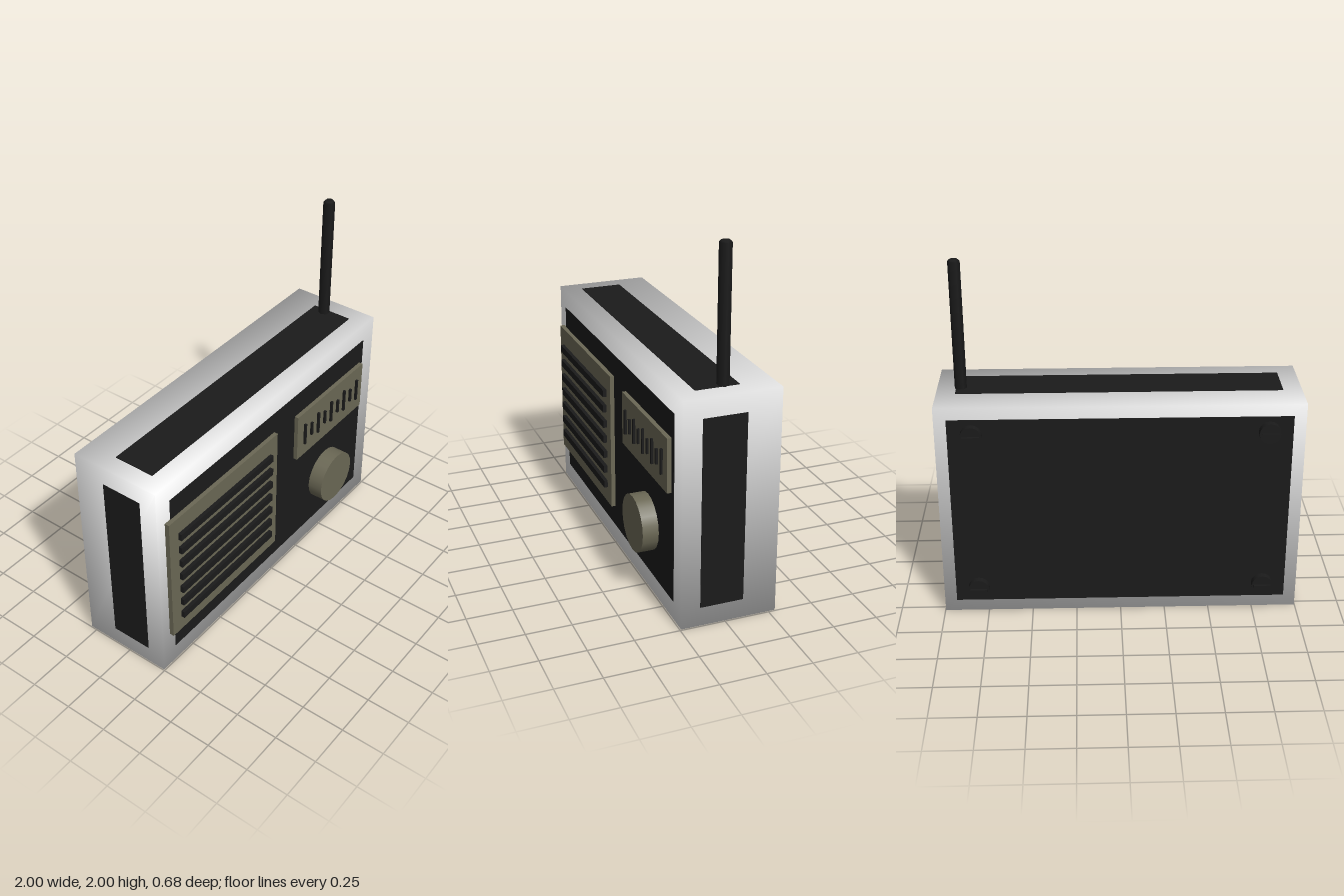
import * as THREE from 'three';

const mat = (name, color) => {
  const m = new THREE.MeshStandardMaterial({ color });
  m.name = name;
  return m;
};

export function createModel() {
  const radio = new THREE.Group();
  radio.name = 'radio';
  const silver = mat('silver', 0xe6e6e6);
  const black = mat('black', 0x1b1b1b);
  const olive = mat('olive', 0x6b6855);

  const add = (name, geometry, material, x, y, z, parent = radio) => {
    const m = new THREE.Mesh(geometry, material);
    m.name = name;
    m.position.set(x, y, z);
    parent.add(m);
    return m;
  };
  const box = (name, material, w, h, d, x, y, z, parent) =>
    add(name, new THREE.BoxGeometry(w, h, d), material, x, y, z, parent);

  const front = 0.245, back = -0.287, bottom = 0.003, top = 1.267, side = 0.997;
  const midZ = (front + back) / 2, midY = (top + bottom) / 2;

  // Case: a box whose corner normals point diagonally, for soft shading
  const caseGeo = new THREE.BoxGeometry(side * 2, top - bottom, front - back);
  const p = caseGeo.attributes.position, n = caseGeo.attributes.normal;
  const corner = new THREE.Vector3();
  for (let i = 0; i < p.count; i++) {
    corner.set(Math.sign(p.getX(i)), Math.sign(p.getY(i)), Math.sign(p.getZ(i))).normalize();
    n.setXYZ(i, corner.x, corner.y, corner.z);
  }
  add('case', caseGeo, silver, 0, midY, midZ);

  // Dark panels on every side, standing 0.003 proud of the case
  const t = 0.006;
  box('frontPanel', black, 1.785, 1.05, t, 0, midY, front);
  box('backPanel', black, 1.86, 1.125, t, 0, midY, back);
  box('topPanel', black, 1.785, t, 0.24, 0, top, 0.02);
  box('bottomPanel', black, 1.785, t, 0.24, 0, bottom, 0.02);
  box('leftPanel', black, t, 1.05, 0.24, side, midY, 0.02);
  box('rightPanel', black, t, 1.05, 0.24, -side, midY, 0.02);

  // Speaker plate with seven bars
  const speaker = new THREE.Group();
  speaker.name = 'speaker';
  radio.add(speaker);
  box('speakerPlate', olive, 0.935, 0.8, 0.04, -0.4675, 0.635, 0.252, speaker);
  for (let i = 0; i < 7; i++)
    box('speakerBar', black, 0.8, 0.042, 0.03, -0.465, 0.912 - i * 0.0937, 0.278, speaker);

  // Tuning scale with long and short ticks
  const dial = new THREE.Group();
  dial.name = 'tuningScale';
  radio.add(dial);
  box('scalePlate', olive, 0.665, 0.3, 0.04, 0.53, 0.87, 0.252, dial);
  for (let i = 0; i < 9; i++)
    box('scaleTick', black, 0.014, i % 2 ? 0.085 : 0.14, 0.02, 0.265 + i * 0.0665, 0.87, 0.275, dial);

  // Tuning knob
  add('knob', new THREE.CylinderGeometry(0.159, 0.159, 0.1, 20), olive, 0.53, 0.403, 0.287)
    .rotation.x = Math.PI / 2;

  // Six-sided aerial with a chamfered tip
  const aerialProfile = [[0, 0], [0.033, 0], [0.033, 0.79], [0.025, 0.8], [0, 0.8]]
    .map(([x, y]) => new THREE.Vector2(x, y));
  const aerialGeo = new THREE.LatheGeometry(aerialProfile, 6);
  aerialGeo.rotateY(Math.PI / 2);
  add('aerial', aerialGeo, black, 0.867, 1.2, -0.02);

  // Four back screws, each with a raised bar
  for (const x of [-0.8, 0.8])
    for (const y of [0.16, 1.11]) {
      const screw = new THREE.Group();
      screw.name = 'backScrew';
      screw.position.set(x, y, back);
      radio.add(screw);
      add('screwHead', new THREE.CylinderGeometry(0.059, 0.059, 0.05, 16), black, 0, 0, -0.015, screw)
        .rotation.x = Math.PI / 2;
      box('screwBar', black, 0.095, 0.012, 0.03, 0, 0, -0.038, screw);
    }

  return radio;
}
